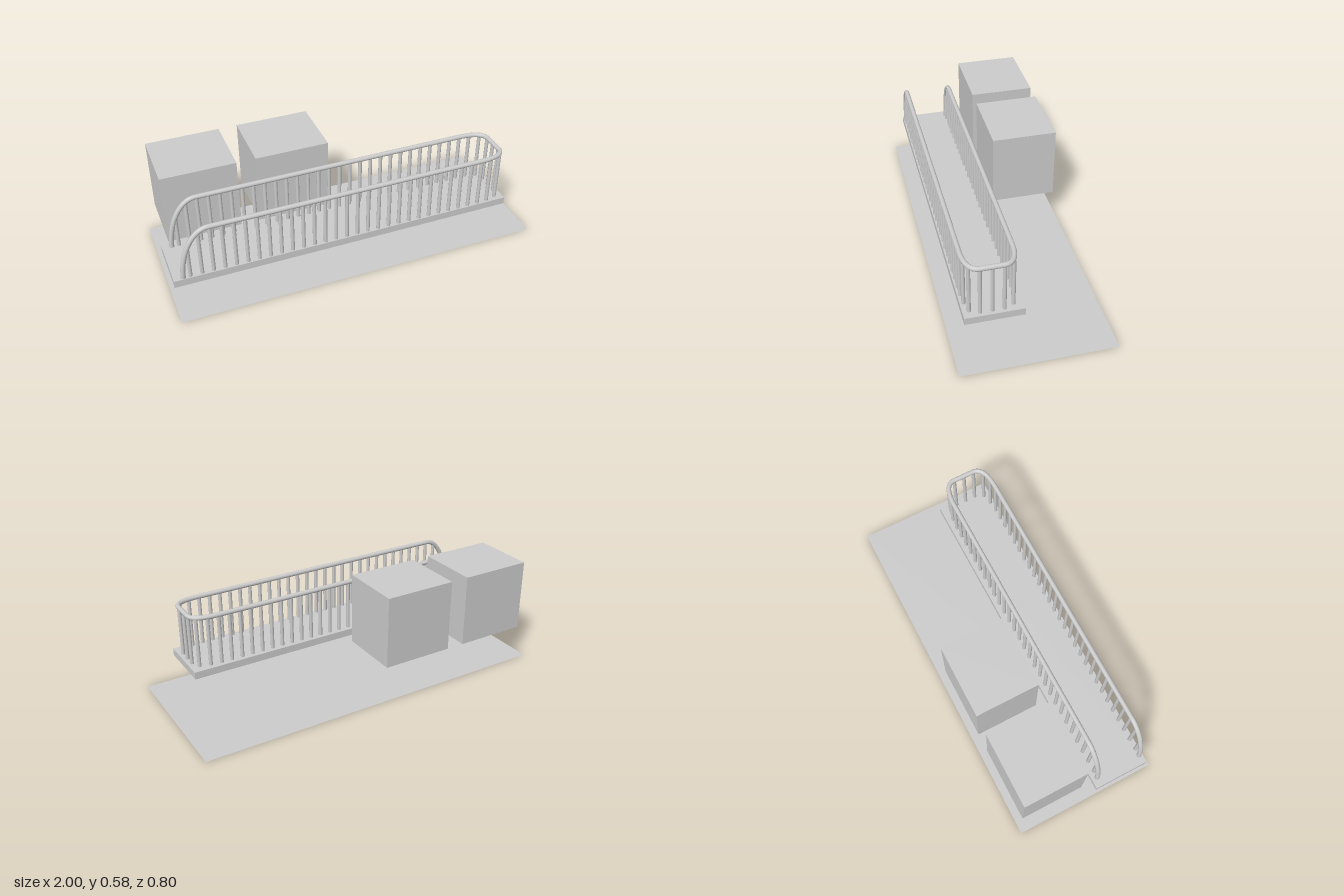
import * as THREE from 'three';

const MID_Z = 0.198, HALF = 0.127;        // rail centre line and half width
const BASE_Y = 0.21, RAIL_Y = 0.5;        // rail foot and top heights
const FOOT_X = -0.95, BEND_X = -0.8, END_X = 0.832, CORNER_X = 0.69, CORNER_Z = 0.07;

export function createModel() {
  const group = new THREE.Group();
  const grey = new THREE.MeshStandardMaterial({ color: 0xcccccc });
  const thin = new THREE.MeshStandardMaterial({ color: 0xcccccc, side: THREE.DoubleSide });
  const v = (x, y, z) => new THREE.Vector3(x, y, z);

  function add(parent, name, geometry, x, y, z, material = grey) {
    const mesh = new THREE.Mesh(geometry, material);
    mesh.name = name;
    mesh.position.set(x, y, z);
    parent.add(mesh);
  }

  // Flat ground sheet
  add(group, 'groundSheet', new THREE.PlaneGeometry(2, 0.8).rotateX(-Math.PI / 2), 0, 0, 0, thin);

  // Raised walkway slab
  add(group, 'platform', new THREE.BoxGeometry(1.855, 0.04, 0.3), -0.0725, 0.204, 0.19);

  // Two blocks behind the walkway
  for (const x of [-0.752, -0.25]) {
    add(group, 'block', new THREE.BoxGeometry(0.4, 0.4, 0.35), x, 0.384, -0.197);
  }

  // Handrail: up from the foot, along one side, round the end and back
  const rail = new THREE.CurvePath();
  const k = 0.552, w = BEND_X - FOOT_X, h = RAIL_Y - BASE_Y;
  const zA = MID_Z + HALF, zB = MID_Z - HALF;
  const foot = z => [
    v(FOOT_X, BASE_Y, z), v(FOOT_X, BASE_Y + k * h, z),
    v(BEND_X - k * w, RAIL_Y, z), v(BEND_X, RAIL_Y, z),
  ];
  const top = (x, z) => v(x, RAIL_Y, z);
  rail.add(new THREE.CubicBezierCurve3(...foot(zA)));
  rail.add(new THREE.LineCurve3(top(BEND_X, zA), top(CORNER_X, zA)));
  rail.add(new THREE.QuadraticBezierCurve3(top(CORNER_X, zA), top(END_X, zA), top(END_X, zA - CORNER_Z)));
  rail.add(new THREE.LineCurve3(top(END_X, zA - CORNER_Z), top(END_X, zB + CORNER_Z)));
  rail.add(new THREE.QuadraticBezierCurve3(top(END_X, zB + CORNER_Z), top(END_X, zB), top(CORNER_X, zB)));
  rail.add(new THREE.LineCurve3(top(CORNER_X, zB), top(BEND_X, zB)));
  rail.add(new THREE.CubicBezierCurve3(...foot(zB).reverse()));
  add(group, 'handrail', new THREE.TubeGeometry(rail, 320, 0.013, 12, false), 0, 0, 0, thin);

  // Balusters, shortened where the rail curves down to its foot
  const posts = new THREE.Group();
  posts.name = 'balusters';
  group.add(posts);
  function post(x, z) {
    const t = Math.max(0, (BEND_X - x) / w);
    const topY = BASE_Y + h * Math.sqrt(1 - t * t);
    add(posts, 'baluster', new THREE.CylinderGeometry(0.01, 0.01, topY - BASE_Y, 12),
      x, (topY + BASE_Y) / 2, z);
  }
  for (const side of [-1, 1]) {
    for (let i = 0; i < 29; i++) {
      const x = -0.913 + 0.0594 * i;
      post(x, MID_Z + side * (x > 0.72 ? HALF - 0.004 : HALF));
    }
    post(0.808, MID_Z + side * 0.109);   // corner post
  }
  for (const dz of [-0.0595, 0, 0.0595]) post(0.83, MID_Z + dz);

  return group;
}
